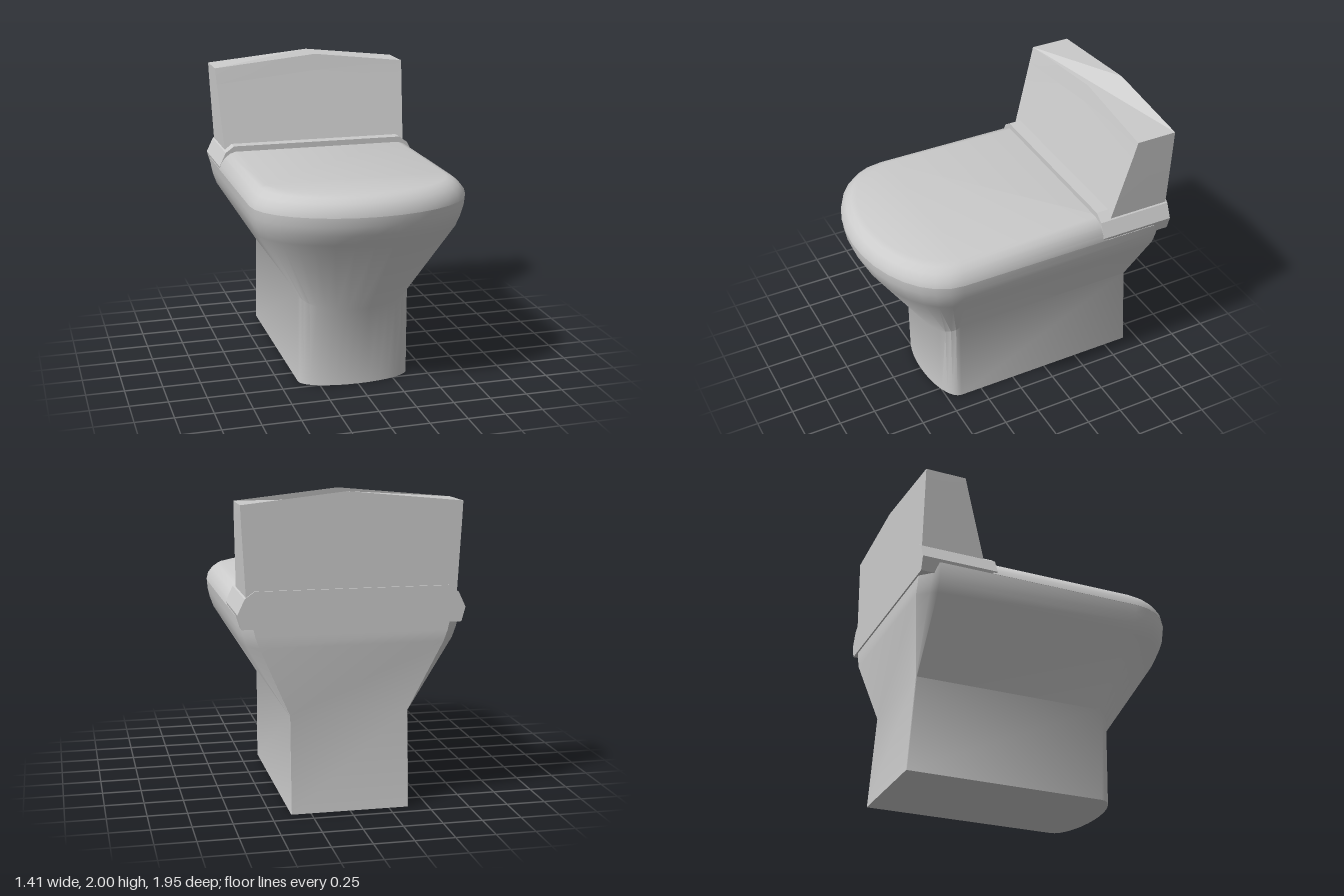
import * as THREE from 'three';
import { toCreasedNormals } from 'three/addons/utils/BufferGeometryUtils.js';

// Skin a stack of equal-length rings (counter-clockwise from above) and cap both ends
function loft(rings, crease) {
  const n = rings[0].length, index = [];
  for (let r = 0; r < rings.length - 1; r++) {
    for (let i = 0; i < n; i++) {
      const a = r * n + i, b = r * n + (i + 1) % n;
      index.push(a, b, b + n, a, b + n, a + n);
    }
  }
  const top = (rings.length - 1) * n;
  for (let i = 1; i < n - 1; i++) {
    index.push(0, i + 1, i, top, top + i, top + i + 1);
  }
  const geo = new THREE.BufferGeometry();
  geo.setAttribute('position', new THREE.Float32BufferAttribute(rings.flat(2), 3));
  geo.setIndex(index);
  return toCreasedNormals(geo, crease);
}

// U-shaped plan: elliptical nose, straight sides, square back with cut corners
function uRing({ y, w, side, front, back, cut = 0.004, sag = 0 }) {
  const ring = [], steps = 16;
  for (let i = 0; i <= steps; i++) {
    const t = Math.PI * (1 - i / steps);
    ring.push([w * Math.cos(t), y - sag * Math.sin(t), side + (front - side) * Math.sin(t)]);
  }
  const corner = [[w, back + cut], [w - cut * 0.2, back + cut * 0.6], [w - cut * 0.8, back]];
  corner.forEach(([x, z]) => ring.push([x, y, z]));
  corner.reverse().forEach(([x, z]) => ring.push([-x, y, z]));
  return ring;
}

export function createModel() {
  const group = new THREE.Group();
  const material = new THREE.MeshStandardMaterial({ color: 0xcccccc });
  const add = (name, geometry) => {
    const mesh = new THREE.Mesh(geometry, material);
    mesh.name = name;
    group.add(mesh);
  };

  // Pedestal flaring into the bowl
  add('bowl', loft([
    { y: 0, w: 0.375, side: 0.4, front: 0.54, back: -0.91 },
    { y: 0.62, w: 0.375, side: 0.4, front: 0.548, back: -0.87, sag: 0.1 },
    { y: 1.07, w: 0.66, side: 0.5, front: 0.91, back: -0.96, cut: 0.11 },
    { y: 1.14, w: 0.685, side: 0.51, front: 0.945, back: -0.96, cut: 0.11 },
    { y: 1.2, w: 0.698, side: 0.52, front: 0.967, back: -0.96, cut: 0.11 },
    { y: 1.26, w: 0.703, side: 0.52, front: 0.972, back: -0.96, cut: 0.11 },
  ].map(uRing), 0.7));

  // Closed lid with a rolled edge, its back end tucked into the hinge band
  add('lid', loft([
    { y: 1.26, w: 0.705, side: 0.52, front: 0.975, back: -0.5 },
    { y: 1.3, w: 0.695, side: 0.52, front: 0.967, back: -0.5 },
    { y: 1.34, w: 0.665, side: 0.51, front: 0.94, back: -0.5 },
    { y: 1.368, w: 0.63, side: 0.5, front: 0.905, back: -0.5 },
    { y: 1.38, w: 0.59, side: 0.48, front: 0.87, back: -0.5 },
  ].map(uRing), 0.7));

  // Bevelled band carrying the tank
  const half = [[0.68, 1.19], [0.705, 1.28], [0.66, 1.375], [0.6, 1.418]];
  const outline = [...half, ...half.map(([x, y]) => [-x, y]).reverse()];
  const bandShape = new THREE.Shape(outline.map(([x, y]) => new THREE.Vector2(x, y)));
  const band = new THREE.ExtrudeGeometry(bandShape, { depth: 0.5, bevelEnabled: false });
  band.translate(0, 0, -0.97);
  add('hingeBand', band);

  // Tank: sloping front face, shallow gabled top with the peak slightly off centre
  const tankRing = ({ y, peak, w, front, frontMid = front }) => [
    [-w, y, front], [0.04, peak, frontMid], [w, y, front],
    [w, y, -0.96], [0.04, peak, -0.96], [-w, y, -0.96],
  ];
  add('tank', loft([
    { y: 1.36, peak: 1.36, w: 0.65, front: -0.54 },
    { y: 1.82, peak: 1.89, w: 0.675, front: -0.662, frontMid: -0.68 },
    { y: 1.93, peak: 2, w: 0.68, front: -0.69, frontMid: -0.703 },
  ].map(tankRing), 0.05));

  return group;
}
